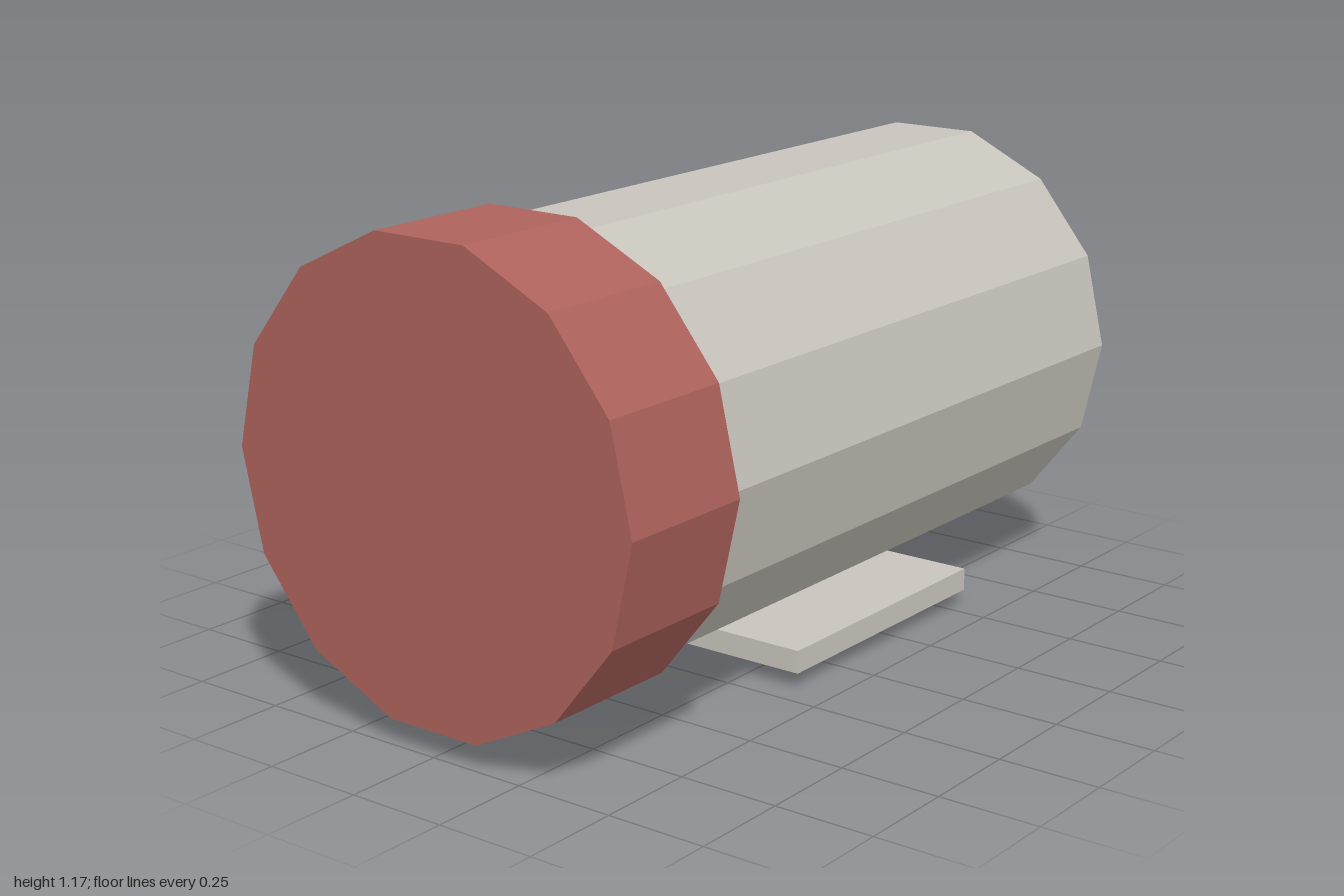
import * as THREE from 'three';

export function createModel() {
  const group = new THREE.Group();
  const grey = new THREE.MeshStandardMaterial({ color: 0xc8c4bc, flatShading: true });
  grey.name = 'warm grey';
  const red = new THREE.MeshStandardMaterial({ color: 0xae625c, flatShading: true });
  red.name = 'dull red';

  const add = (name, geometry, material, x, y, z) => {
    const mesh = new THREE.Mesh(geometry, material);
    mesh.name = name;
    mesh.position.set(x, y, z);
    group.add(mesh);
  };

  // fourteen-sided drum lying along z, with corners at the far left and right
  const drum = (name, radius, z0, z1, material) => {
    const geometry = new THREE.CylinderGeometry(radius, radius, z1 - z0, 14, 1, false, Math.PI / 2);
    geometry.rotateX(Math.PI / 2);
    add(name, geometry, material, 0, 0.617, (z0 + z1) / 2);
  };

  // flat block given by its width and its y and z limits
  const slab = (name, width, y0, y1, z0, z1, material) =>
    add(name, new THREE.BoxGeometry(width, y1 - y0, z1 - z0), material, 0, (y0 + y1) / 2, (z0 + z1) / 2);

  drum('body', 0.535, -1, 0.635, grey);
  drum('frontCap', 0.57, 0.635, 1, red);

  // mount under the body
  slab('mountPlate', 0.815, 0.04, 0.097, -0.553, 0.185, grey);
  slab('mountFoot', 0.252, 0, 0.04, -0.403, 0.037, red);

  return group;
}
